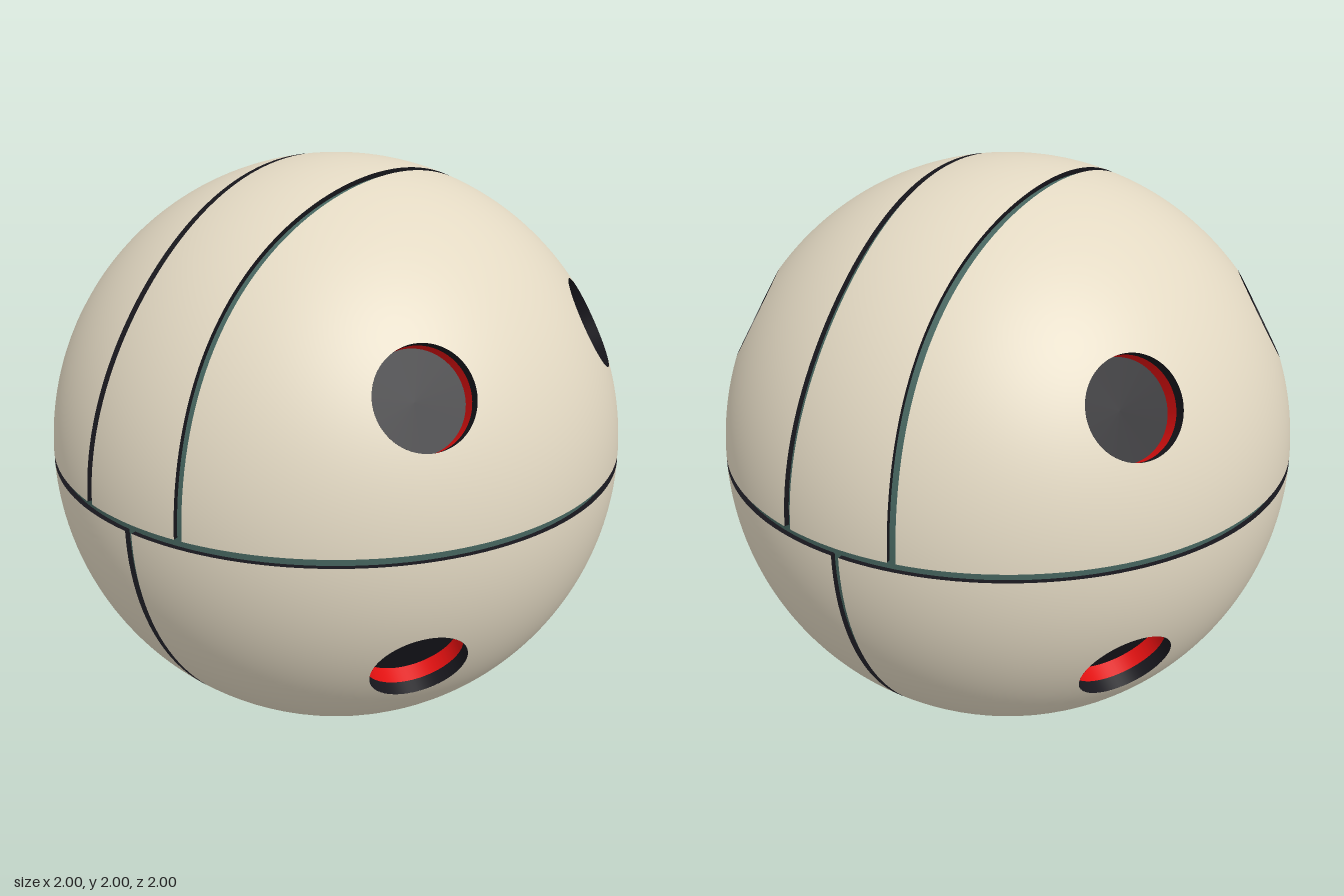
import * as THREE from 'three';

const mat = (color) => new THREE.MeshStandardMaterial({ color, side: THREE.DoubleSide });
const cream = mat(0xe3d9c3), dark = mat(0x17161c), red = mat(0xe01010), teal = mat(0x45645e);

const HALF_GAP = 0.014;            // half width of the vertical seams
const TOP_Y = 0.02, LOW_Y = -0.01; // edges of the equator seam, from the ball's centre
const FLOOR = 0.982;               // radius of the seam floors
const HOLE_R = 0.165;

// x of the wavy upper seam at angle a, measured front to back over the top
const seamX = (a) => 0.191 + 0.012 * Math.cos(4 * a);

// Grid surface from f(u, v); spherical ones get exact normals facing outwards
function gridMesh(name, nu, nv, f, material, spherical) {
  const pos = [], idx = [];
  for (let j = 0; j <= nv; j++) {
    for (let i = 0; i <= nu; i++) pos.push(...f(i / nu, j / nv).toArray());
  }
  for (let j = 0; j < nv; j++) {
    for (let i = 0; i < nu; i++) {
      const a = j * (nu + 1) + i, b = a + 1, c = a + nu + 1, d = c + 1;
      idx.push(a, b, d, a, d, c);
    }
  }
  const geo = new THREE.BufferGeometry();
  geo.setAttribute('position', new THREE.Float32BufferAttribute(pos, 3));
  if (spherical) {
    const at = (k) => new THREE.Vector3().fromArray(pos, k * 3);
    const mid = idx.length / 2 - (idx.length / 2) % 6;
    const [a, b, c] = [at(idx[mid]), at(idx[mid + 1]), at(idx[mid + 2])];
    const n = b.clone().sub(a).cross(c.clone().sub(a));
    if (n.dot(a) < 0) idx.reverse();
    const normals = [];
    for (let k = 0; k < pos.length / 3; k++) normals.push(...at(k).normalize().toArray());
    geo.setAttribute('normal', new THREE.Float32BufferAttribute(normals, 3));
  }
  geo.setIndex(idx);
  if (!spherical) geo.computeVertexNormals();
  const mesh = new THREE.Mesh(geo, material);
  mesh.name = name;
  return mesh;
}

// Point on the unit ball at a given x and angle over the top
function ballPoint(x, a) {
  const r = Math.sqrt(1 - x * x);
  return new THREE.Vector3(x, r * Math.sin(a), r * Math.cos(a));
}

// Thin dark side wall below a panel edge
function edgeWall(points) {
  const n = points.length - 1;
  return gridMesh('panelEdge', n, 1,
    (u, v) => points[Math.round(u * n)].clone().multiplyScalar(v ? FLOOR - 0.004 : 1), dark, false);
}

// One eighth of the shell: a ring of surface between the round port and the panel border
function octant(sx, sy, sz) {
  const group = new THREE.Group();
  const upper = sy > 0;
  group.name = upper ? 'upperPanel' : 'lowerPanel';
  const edgeX = (a) => (upper ? seamX(a) + HALF_GAP : HALF_GAP);
  const y0 = upper ? TOP_Y : -LOW_Y;
  const mirror = new THREE.Vector3(sx, sy, sz);
  const N = 40;

  // Border: seam edge, middle meridian, equator edge
  const seam = [], side = [], equator = [];
  const start = Math.asin(y0 / Math.sqrt(1 - edgeX(0) ** 2));
  for (let i = 0; i <= N; i++) {
    const a = start + (Math.PI / 2 - start) * i / N;
    seam.push(ballPoint(edgeX(a), a));
  }
  const top = Math.acos(edgeX(Math.PI / 2)), low = Math.asin(y0);
  const end = Math.atan2(seam[0].z, seam[0].x);
  for (let i = 0; i <= N; i++) {
    const a = top + (low - top) * i / N;
    side.push(new THREE.Vector3(Math.cos(a), Math.sin(a), 0));
    const b = end * i / N, r = Math.sqrt(1 - y0 * y0);
    equator.push(new THREE.Vector3(r * Math.cos(b), y0, r * Math.sin(b)));
  }
  for (const p of [...seam, ...side, ...equator]) p.multiply(mirror);
  const border = [...seam, ...side.slice(1), ...equator.slice(1)];

  const axis = new THREE.Vector3(0.74, upper ? 0.468 : 0.45, 0.462).normalize().multiply(mirror);
  const rim = Math.asin(HOLE_R), count = border.length - 1;
  group.add(gridMesh('panelSurface', count, 16, (u, v) => {
    const b = border[Math.round(u * count)];
    const dir = b.clone().addScaledVector(axis, -b.dot(axis)).normalize();
    const a = THREE.MathUtils.lerp(rim, b.angleTo(axis), v);
    return axis.clone().multiplyScalar(Math.cos(a)).addScaledVector(dir, Math.sin(a));
  }, cream, true));
  group.add(edgeWall(seam), edgeWall(equator));
  group.add(port(axis, Math.cos(rim)));
  return group;
}

// Round recess: dark collar, red band and dark floor
function port(axis, rimHeight) {
  const group = new THREE.Group();
  group.name = 'port';
  const tube = (name, from, to, material) => {
    const mesh = new THREE.Mesh(
      new THREE.CylinderGeometry(HOLE_R, HOLE_R, to - from, 64, 1, true), material);
    mesh.position.y = rimHeight - (from + to) / 2;
    mesh.name = name;
    group.add(mesh);
  };
  tube('portCollar', 0, 0.045, dark);
  tube('portRedBand', 0.045, 0.1, red);
  const floor = new THREE.Mesh(new THREE.CircleGeometry(HOLE_R, 64).rotateX(-Math.PI / 2), dark);
  floor.position.y = rimHeight - 0.1;
  floor.name = 'portFloor';
  group.add(floor);
  group.quaternion.setFromUnitVectors(new THREE.Vector3(0, 1, 0), axis);
  return group;
}

// Band running over the top between the two wavy seams
function centreStrip() {
  const group = new THREE.Group();
  group.name = 'centreStrip';
  const point = (u, v) => {
    const x = (2 * u - 1) * (seamX(v * Math.PI) - HALF_GAP);
    const start = Math.asin(TOP_Y / Math.sqrt(1 - x * x));
    return ballPoint(x, start + (Math.PI - 2 * start) * v);
  };
  group.add(gridMesh('stripSurface', 12, 96, point, cream, true));
  for (const s of [0, 1]) {
    group.add(edgeWall(Array.from({ length: 97 }, (_, i) => point(s, i / 96))));
    group.add(edgeWall(Array.from({ length: 13 }, (_, i) => point(i / 12, s))));
  }
  return group;
}

// Coloured floors at the bottom of the seams
function seamFloors() {
  const group = new THREE.Group();
  group.name = 'seamFloors';
  const w = HALF_GAP + 0.006;
  group.add(gridMesh('equatorSeam', 128, 2, (u, v) => {
    const y = THREE.MathUtils.lerp(LOW_Y - 0.006, TOP_Y + 0.006, v);
    const r = Math.sqrt(1 - y * y), a = u * Math.PI * 2;
    return new THREE.Vector3(r * Math.cos(a), y, r * Math.sin(a)).multiplyScalar(FLOOR);
  }, teal, true));
  for (const s of [-1, 1]) {
    group.add(gridMesh('upperSeam', 2, 96, (u, v) =>
      ballPoint(s * seamX(v * Math.PI) + (2 * u - 1) * w, v * Math.PI).multiplyScalar(FLOOR),
    teal, true));
  }
  group.add(gridMesh('lowerSeam', 2, 96, (u, v) =>
    ballPoint((2 * u - 1) * w, -v * Math.PI).multiplyScalar(FLOOR), teal, true));
  return group;
}

export function createModel() {
  const model = new THREE.Group();
  model.name = 'panelledBall';
  for (const sx of [-1, 1]) for (const sy of [-1, 1]) for (const sz of [-1, 1]) {
    model.add(octant(sx, sy, sz));
  }
  model.add(centreStrip(), seamFloors());
  for (const part of model.children) part.position.y = 1;
  return model;
}
